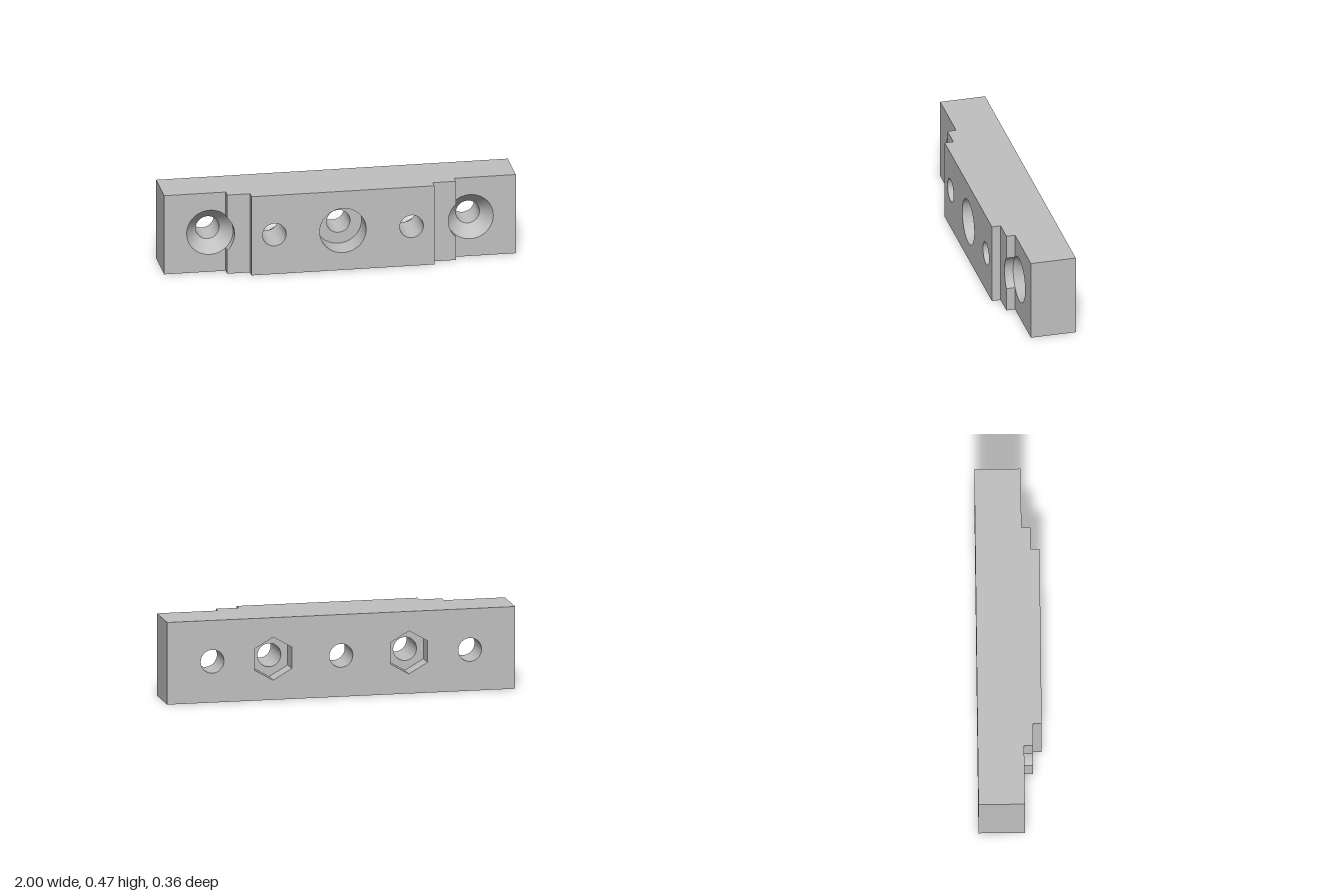
import * as THREE from 'three';
import { toCreasedNormals } from 'three/addons/utils/BufferGeometryUtils.js';

const H = 0.47, CY = H / 2;        // bar height and hole axis height
const r = 0.067, R = 0.132;        // bore and counterbore radii
const HEX = 0.123;                 // nut pocket corner radius
const SIDE = 0.39, END = 0.74;     // hole positions along x
const Z = { back: -0.18, hexFloor: -0.075, coneTip: 0, boreFloor: 0.025, end: 0.08, step: 0.13, front: 0.18 };

function rect(w) {
  return new THREE.Shape([[-w, 0], [w, 0], [w, H], [-w, H]].map(([x, y]) => new THREE.Vector2(x, y)));
}

function round(x, radius) {
  return new THREE.Path().absarc(x, CY, radius, 0, Math.PI * 2, true);
}

function hex(x) {
  const pts = [];
  for (let i = 0; i < 6; i++) {
    const a = Math.PI / 2 - i * Math.PI / 3;
    pts.push(new THREE.Vector2(x + HEX * Math.cos(a), CY + HEX * Math.sin(a)));
  }
  return new THREE.Path(pts);
}

// Step plate whose ends are bitten by the screw-head clearance
function notchedPlate(w) {
  const a = Math.acos((w - END) / R);
  const s = new THREE.Shape();
  s.moveTo(-w, 0);
  s.lineTo(w, 0);
  s.absarc(END, CY, R, 2 * Math.PI - a, a, true);
  s.lineTo(w, H);
  s.lineTo(-w, H);
  s.absarc(-END, CY, R, Math.PI - a, a - Math.PI, true);
  s.closePath();
  return s;
}

export function createModel() {
  const group = new THREE.Group();
  const metal = new THREE.MeshStandardMaterial({ color: 0xc0c0c0 });
  metal.name = 'grey metal';

  function layer(name, shape, holes, z0, z1) {
    shape.holes.push(...holes);
    const geo = new THREE.ExtrudeGeometry(shape, { depth: z1 - z0, bevelEnabled: false, curveSegments: 48 });
    const mesh = new THREE.Mesh(toCreasedNormals(geo, 0.5), metal);
    mesh.name = name;
    mesh.position.z = z0;
    group.add(mesh);
  }

  const pair = (make, x, size) => [make(-x, size), make(x, size)];

  // Full-length bar, sliced where the pockets change section
  layer('nutPocketLayer', rect(1),
    [round(0, r), ...pair(hex, SIDE), ...pair(round, END, r)], Z.back, Z.hexFloor);
  layer('boreLayer', rect(1),
    [round(0, r), ...pair(round, SIDE, r), ...pair(round, END, r)], Z.hexFloor, Z.coneTip);
  layer('countersinkLayer', rect(1),
    [round(0, r), ...pair(round, SIDE, r), ...pair(round, END, R)], Z.coneTip, Z.boreFloor);
  layer('counterboreLayer', rect(1),
    [round(0, R), ...pair(round, SIDE, r), ...pair(round, END, R)], Z.boreFloor, Z.end);

  // Stepped front
  layer('stepPlate', notchedPlate(0.65), [round(0, R), ...pair(round, SIDE, r)], Z.end, Z.step);
  layer('frontPlate', rect(0.52), [round(0, R), ...pair(round, SIDE, r)], Z.step, Z.front);

  // Conical screw seats, seen from inside
  for (const side of [-1, 1]) {
    const cone = new THREE.CylinderGeometry(R, r, Z.end - Z.coneTip, 96, 1, true);
    cone.rotateX(Math.PI / 2);
    cone.scale(-1, 1, 1);
    // Mirroring flips the winding inward; turn the normals to match
    const n = cone.attributes.normal;
    for (let i = 0; i < n.count; i++) n.setXYZ(i, -n.getX(i), -n.getY(i), -n.getZ(i));
    const mesh = new THREE.Mesh(cone, metal);
    mesh.name = side > 0 ? 'leftCountersink' : 'rightCountersink';
    mesh.position.set(side * END, CY, (Z.end + Z.coneTip) / 2);
    group.add(mesh);
  }
  return group;
}
